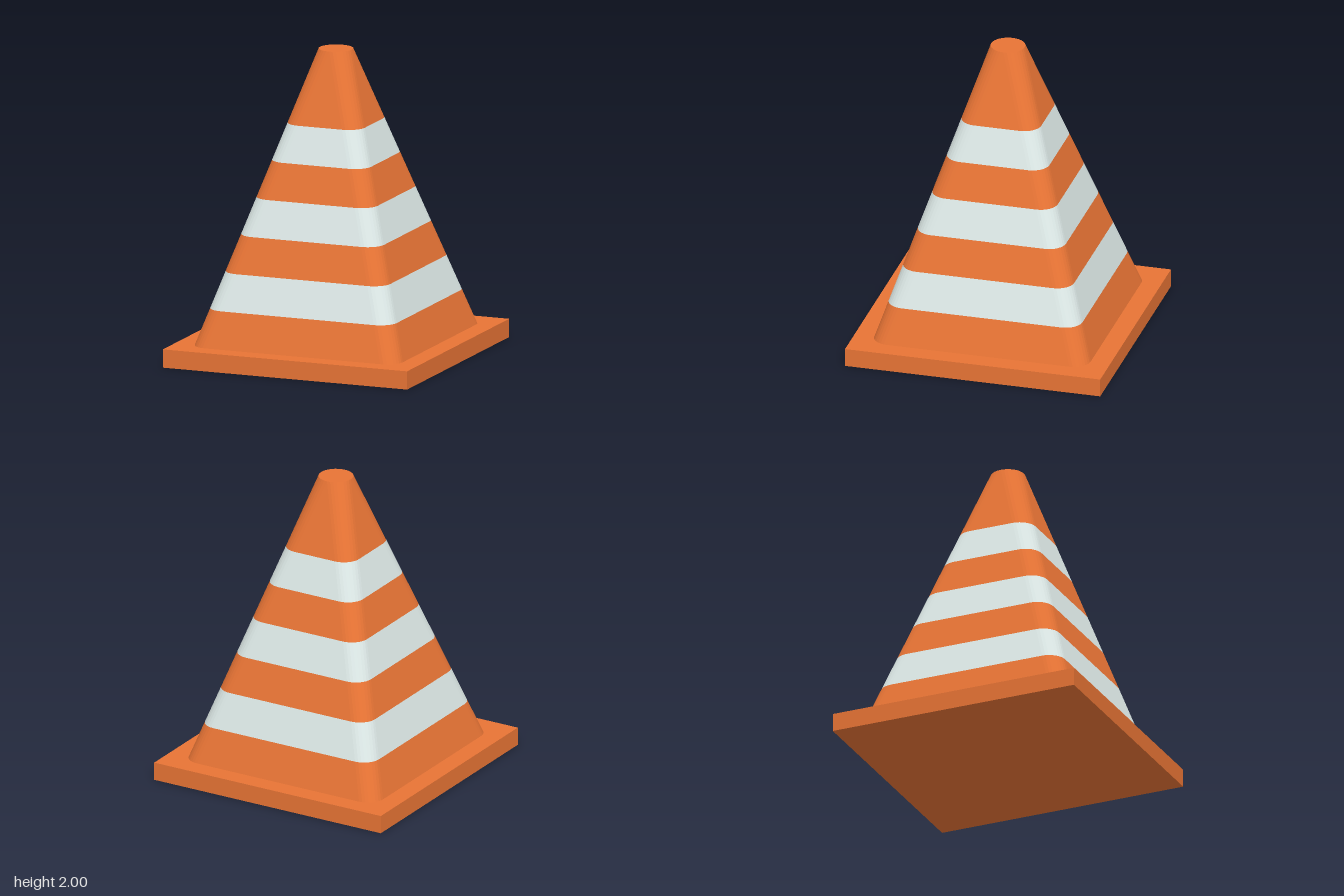
import * as THREE from 'three';

const BASE_H = 0.12, TOP = 2, BANDS = 8;
const BOTTOM_HALF = 0.72, CORNER_R = 0.112, CORNER_SEGS = 8;

// Rounded-square ring at height y; the corner radius stays constant, so the top is a circle
function ring(y) {
  const t = (y - BASE_H) / (TOP - BASE_H);
  const inset = (BOTTOM_HALF - CORNER_R) * (1 - t);
  const points = [];
  for (let c = 0; c < 4; c++) {
    const mid = Math.PI / 4 + c * Math.PI / 2;
    const cx = Math.sign(Math.cos(mid)) * inset, cz = Math.sign(Math.sin(mid)) * inset;
    for (let i = 0; i <= CORNER_SEGS; i++) {
      const a = (c + i / CORNER_SEGS) * Math.PI / 2;
      points.push(new THREE.Vector3(cx + CORNER_R * Math.cos(a), y, cz + CORNER_R * Math.sin(a)));
    }
  }
  return points;
}

// Sloping wall between two heights
function bandGeometry(y0, y1) {
  const low = ring(y0), high = ring(y1), n = low.length, points = [];
  for (let i = 0; i < n; i++) {
    const j = (i + 1) % n;
    points.push(low[i], high[i], low[j]);
    // the flat sides close to a point at the very top
    if (high[i].distanceTo(high[j]) > 1e-6) points.push(low[j], high[i], high[j]);
  }
  const geometry = new THREE.BufferGeometry().setFromPoints(points);
  geometry.computeVertexNormals();
  return geometry;
}

export function createModel() {
  const group = new THREE.Group();
  group.name = 'trafficCone';
  const orange = new THREE.MeshStandardMaterial({ color: 0xe87435, flatShading: true });
  const white = new THREE.MeshStandardMaterial({ color: 0xdce8e6, flatShading: true });

  const add = (name, geometry, material) => {
    const mesh = new THREE.Mesh(geometry, material);
    mesh.name = name;
    group.add(mesh);
    return mesh;
  };

  // Square foot plate
  add('base', new THREE.BoxGeometry(1.7, BASE_H, 1.7), orange).position.y = BASE_H / 2;

  // Alternating bands; the orange tip is two bands tall
  const step = (TOP - BASE_H) / BANDS;
  for (let i = 0; i < BANDS - 1; i++) {
    const y0 = BASE_H + i * step;
    const y1 = i === BANDS - 2 ? TOP : y0 + step;
    const striped = i % 2 === 1;
    add((striped ? 'whiteStripe' : 'orangeBand') + (Math.floor(i / 2) + 1),
      bandGeometry(y0, y1), striped ? white : orange);
  }

  // Flat round top
  const cap = add('topCap', new THREE.CircleGeometry(CORNER_R, CORNER_SEGS * 4), orange);
  cap.rotation.x = -Math.PI / 2;
  cap.position.y = TOP;
  return group;
}
